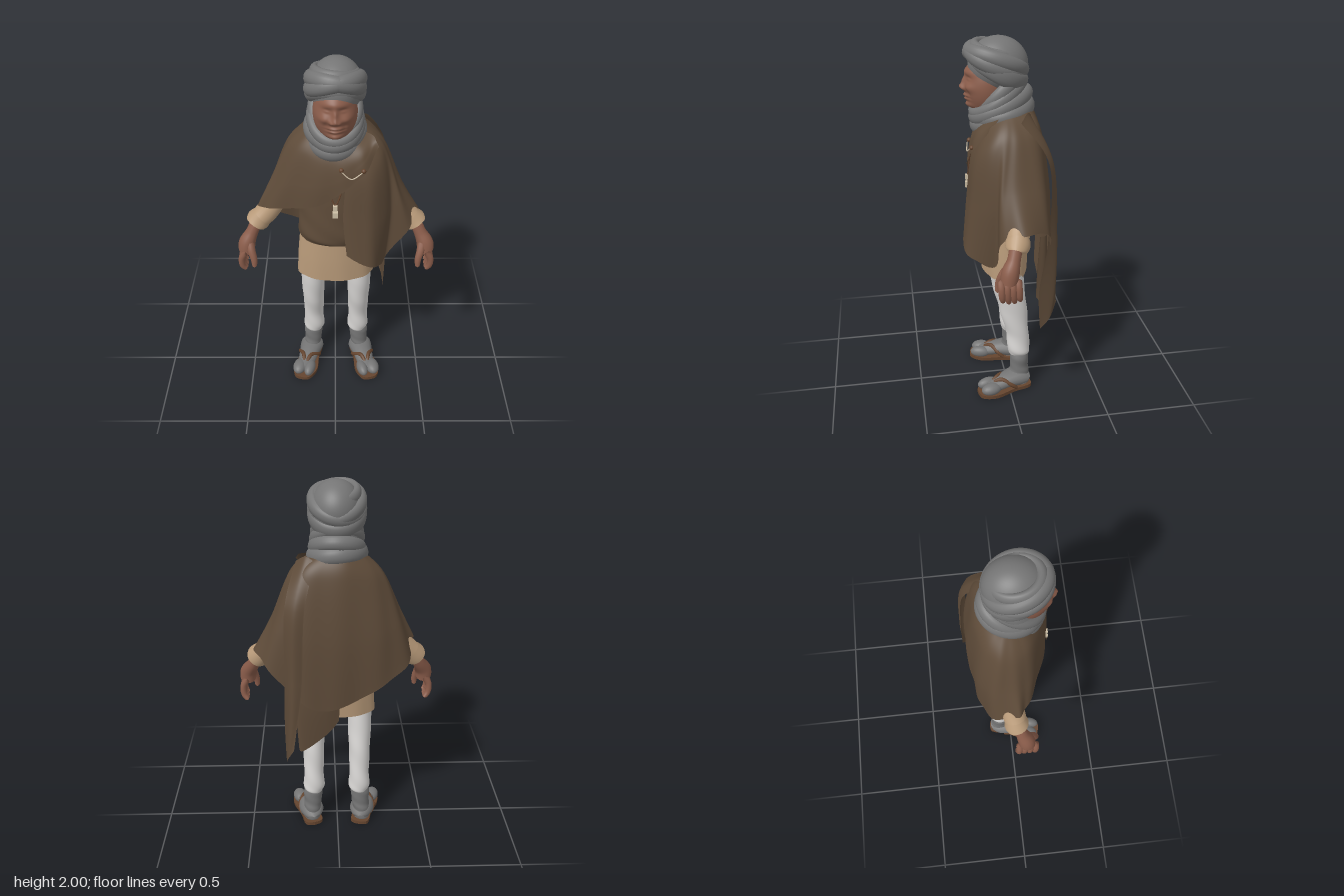
import * as THREE from 'three';
import { ParametricGeometry } from 'three/addons/geometries/ParametricGeometry.js';

const mat = (name, color, side = THREE.FrontSide) => {
  const m = new THREE.MeshStandardMaterial({ color, side });
  m.name = name;
  return m;
};

// Catmull-Rom blend through rows of numbers
function mix(rows, t) {
  const last = rows.length - 1, f = t * last, i = Math.max(0, Math.min(Math.floor(f), last - 1)), k = f - i;
  const at = j => rows[Math.max(0, Math.min(last, j))];
  const [p, q, r, s] = [at(i - 1), at(i), at(i + 1), at(i + 2)];
  return q.map((b, n) => 0.5 * (2 * b + (r[n] - p[n]) * k + (2 * p[n] - 5 * b + 4 * r[n] - s[n]) * k * k
    + (3 * b - p[n] - 3 * r[n] + s[n]) * k * k * k));
}

// Cloth through columns of points, each column a flat list of x, y, z
function sheet(cols, nu, nv, folds = 0, amount = 0) {
  return new ParametricGeometry((u, v, target) => {
    const c = mix(cols, u), pts = [];
    for (let i = 0; i < c.length; i += 3) pts.push(c.slice(i, i + 3));
    const [x, y, z] = mix(pts, v);
    const w = 1 + amount * v * (Math.sin(u * Math.PI * 2 * folds) + 0.5 * Math.sin(u * 37 + v * 4));
    target.set(x * w, y, z * w);
  }, nu, nv);
}

// Upright body through rings [x, y, z, rx, rz], bottom to top
function loft(rings, wrinkle = 0, waves = 2, twist = 24) {
  return new ParametricGeometry((u, v, target) => {
    const [x, y, z, rx, rz] = mix(rings, v), a = u * Math.PI * 2;
    const w = 1 + wrinkle * (1 - v) * Math.sin(a * waves + v * twist);
    target.set(x + Math.sin(a) * rx * w, y, z + Math.cos(a) * rz * w);
  }, 48, 40);
}

// Rounded tube with changing radius
function limb(points, radii, sides = 16, n = 24) {
  const curve = new THREE.CatmullRomCurve3(points.map(p => new THREE.Vector3(...p)));
  const geo = new THREE.TubeGeometry(curve, n, 1, sides);
  const pos = geo.attributes.position, v = new THREE.Vector3();
  for (let i = 0; i < pos.count; i++) {
    const t = Math.floor(i / (sides + 1)) / n, c = curve.getPointAt(t);
    const r = mix(radii.map(k => [k]), t)[0] * Math.sqrt(Math.max(0, 1 - (2 * t - 1) ** 10));
    v.fromBufferAttribute(pos, i).sub(c).multiplyScalar(r).add(c);
    pos.setXYZ(i, v.x, v.y, v.z);
  }
  return geo;
}

export function createModel() {
  const root = new THREE.Group();
  const cloth = mat('brown cloth', 0x5e4b39, THREE.DoubleSide);
  const linen = mat('tan linen', 0xb99b7a, THREE.DoubleSide);
  const white = mat('white trousers', 0xd9d7d5, THREE.DoubleSide);
  const grey = mat('grey wool', 0x757575);
  const skin = mat('skin', 0x8b5d4b);
  const leather = mat('sandal leather', 0x65452f);
  const bone = mat('bone', 0xcdbfa6);

  const add = (name, geo, material, parent = root) => {
    const m = new THREE.Mesh(geo, material);
    m.name = name;
    parent.add(m);
    return m;
  };
  // Flattened, tilted ring of wrapped cloth
  const roll = (name, y, z, rx, rz, h, tiltX, tiltZ) => {
    const m = add(name, new THREE.TorusGeometry(1, 0.24, 16, 56).rotateX(Math.PI / 2), grey);
    m.scale.set(rx / 1.24, h / 0.24, rz / 1.24);
    m.position.set(0, y, z);
    m.rotation.set(tiltX, 0, tiltZ);
  };

  // Head: ellipsoid with features pushed along z, [x, y, amount, width, height]
  const bumps = [
    [0, 1.752, 0.027, 0.019, 0.018], [0, 1.785, 0.016, 0.013, 0.025], [0, 1.828, 0.012, 0.075, 0.018],
    [0.04, 1.798, -0.009, 0.02, 0.013], [0.04, 1.796, 0.007, 0.016, 0.007], [0.055, 1.755, 0.012, 0.028, 0.02],
    [0, 1.855, 0.012, 0.08, 0.025], [0.02, 1.746, 0.012, 0.01, 0.01], [0.045, 1.72, -0.005, 0.012, 0.022],
    [0, 1.711, 0.014, 0.035, 0.008], [0, 1.693, 0.014, 0.032, 0.008], [0, 1.702, -0.006, 0.035, 0.003],
    [0, 1.66, 0.022, 0.04, 0.018],
  ];
  const head = new THREE.SphereGeometry(1, 128, 96).scale(0.108, 0.15, 0.11).translate(0, 1.755, 0.09);
  const hp = head.attributes.position;
  for (let i = 0; i < hp.count; i++) {
    const x = hp.getX(i), y = hp.getY(i);
    if (hp.getZ(i) < 0.1) continue;
    let dz = 0;
    for (const [bx, by, amt, w, h] of bumps)
      dz += amt * Math.exp(-(((Math.abs(x) - bx) / w) ** 2) - ((y - by) / h) ** 2);
    hp.setZ(i, hp.getZ(i) + dz);
  }
  head.computeVertexNormals();
  add('head', head, skin);

  // Turban
  add('turbanDome', new THREE.SphereGeometry(1, 48, 32).scale(0.13, 0.142, 0.152).translate(0.005, 1.858, 0.033), grey);
  roll('turbanRollLow', 1.832, 0.032, 0.15, 0.165, 0.05, -0.52, 0);
  roll('turbanRollLeft', 1.876, 0.043, 0.155, 0.175, 0.038, -0.36, 0.22);
  roll('turbanRollRight', 1.88, 0.043, 0.153, 0.174, 0.038, -0.38, -0.2);
  roll('turbanRollHigh', 1.925, 0.042, 0.124, 0.138, 0.036, -0.2, -0.1);

  // Neck scarf
  add('scarfCore', loft([[0, 1.48, 0.02, 0.12, 0.12], [0, 1.6, 0.01, 0.12, 0.11], [0, 1.7, -0.02, 0.115, 0.09],
    [0, 1.8, -0.01, 0.11, 0.09]]), grey);
  roll('scarfRollLow', 1.59, 0.02, 0.148, 0.166, 0.042, 0.33, 0.06);
  roll('scarfRollBase', 1.625, 0.01, 0.16, 0.168, 0.045, 0.25, -0.08);
  roll('scarfRollMiddle', 1.655, 0.02, 0.15, 0.18, 0.04, 0.46, 0.06);
  roll('scarfRollTop', 1.7, 0.035, 0.143, 0.175, 0.036, 0.62, -0.05);
  roll('scarfRollHood', 1.735, 0.025, 0.137, 0.165, 0.036, 0.78, 0.05);

  // Shirt and tunic
  add('shirt', loft([[0, 0.98, 0.01, 0.185, 0.135], [0, 1.02, 0.01, 0.2, 0.15], [0, 1.12, 0.01, 0.193, 0.15],
    [0, 1.25, 0, 0.195, 0.155], [0, 1.42, 0, 0.2, 0.14], [0, 1.58, 0, 0.14, 0.1]], 0.012, 5), cloth);
  add('tunic', loft([[0, 0.73, 0.005, 0.213, 0.125], [0, 0.86, 0.005, 0.205, 0.13], [0, 1.03, 0.005, 0.188, 0.132]], 0.012, 9, 1), linen);

  // Cloak columns: shoulder, middle and hem, running from the front panel round the back
  const leftDrape = [
    [0.05, 1.42, 0.18, 0.04, 1.2, 0.205, 0.06, 0.98, 0.225],
    [0.13, 1.42, 0.18, 0.13, 1.18, 0.215, 0.15, 0.93, 0.245],
    [0.2, 1.45, 0.15, 0.22, 1.17, 0.18, 0.23, 0.885, 0.19],
    [0.24, 1.5, 0.08, 0.285, 1.2, 0.09, 0.27, 0.86, 0.09],
    [0.245, 1.53, 0.03, 0.33, 1.27, 0.07, 0.39, 1.05, 0.08],
    [0.25, 1.53, -0.02, 0.345, 1.29, 0, 0.44, 1.11, -0.02],
    [0.235, 1.53, -0.09, 0.325, 1.29, -0.13, 0.385, 1.08, -0.16],
    [0.18, 1.55, -0.15, 0.23, 1.25, -0.195, 0.24, 0.92, -0.205],
  ];
  const rightWrap = [
    [0.08, 1.55, -0.17, 0.09, 1.22, -0.215, 0.1, 0.83, -0.22],
    [-0.05, 1.55, -0.17, -0.06, 1.22, -0.205, -0.06, 0.86, -0.205],
    [-0.18, 1.53, -0.13, -0.22, 1.25, -0.175, -0.23, 0.95, -0.18],
    [-0.235, 1.53, -0.07, -0.31, 1.29, -0.11, -0.36, 1.04, -0.12],
    [-0.24, 1.53, -0.01, -0.333, 1.32, -0.01, -0.41, 1.15, 0],
    [-0.22, 1.53, 0.05, -0.305, 1.33, 0.06, -0.375, 1.17, 0.055],
    [-0.16, 1.53, 0.11, -0.21, 1.36, 0.125, -0.25, 1.21, 0.12],
    [-0.05, 1.5, 0.16, -0.065, 1.38, 0.18, -0.08, 1.27, 0.185],
    [0.05, 1.52, 0.17, 0.05, 1.445, 0.192, 0.05, 1.37, 0.202],
    [0.13, 1.56, 0.15, 0.135, 1.51, 0.175, 0.14, 1.45, 0.188],
    [0.185, 1.61, 0.07, 0.2, 1.595, 0.1, 0.215, 1.57, 0.115],
  ];
  const withNeck = c => {
    const a = Math.atan2(c[0], c[2]);
    return [Math.sin(a) * 0.14, 1.635 - 0.03 * Math.cos(a), Math.cos(a) * 0.12, ...c];
  };
  add('cloak', sheet([...leftDrape, ...rightWrap].map(withNeck), 220, 40, 15, 0.016), cloth);
  add('shoulderStrip', sheet([
    [0.11, 1.62, -0.12, 0.17, 1.4, -0.212, 0.19, 1, -0.238, 0.22, 0.75, -0.243, 0.24, 0.6, -0.245],
    [0.16, 1.645, -0.09, 0.22, 1.4, -0.215, 0.24, 1, -0.24, 0.26, 0.7, -0.23, 0.275, 0.52, -0.205],
    [0.21, 1.61, -0.05, 0.27, 1.4, -0.185, 0.28, 1, -0.185, 0.29, 0.7, -0.14, 0.285, 0.46, -0.15],
  ], 20, 40), cloth);
  add('backTail', sheet([
    [-0.01, 1, -0.18, -0.01, 0.86, -0.175, -0.005, 0.74, -0.17], [0.08, 1, -0.2, 0.07, 0.83, -0.195, 0.06, 0.66, -0.18],
    [0.22, 1, -0.19, 0.21, 0.8, -0.195, 0.2, 0.56, -0.19], [0.24, 1, -0.15, 0.23, 0.8, -0.14, 0.21, 0.62, -0.14],
  ], 24, 16), cloth);

  // Pendant on a cord, and the cloak chain
  add('cord', limb([[-0.04, 1.4, 0.175], [0, 1.28, 0.195], [0.045, 1.4, 0.188]], [0.004, 0.004], 8), leather);
  add('pendant', new THREE.BoxGeometry(0.022, 0.03, 0.02).translate(0, 1.265, 0.198), bone);
  add('pendantBead', new THREE.BoxGeometry(0.026, 0.032, 0.02).translate(0, 1.225, 0.2), bone);
  add('cloakChain', limb([[0.03, 1.475, 0.197], [0.08, 1.44, 0.206], [0.135, 1.47, 0.195]], [0.003, 0.003], 8), bone);
  for (const [x, y] of [[0.03, 1.48], [0.14, 1.475]])
    add('cloakPin', new THREE.SphereGeometry(0.012, 16, 12).translate(x, y, 0.188), leather);

  for (const s of [1, -1]) {
    const side = s > 0 ? 'left' : 'right';
    // Arm and hand
    const arm = new THREE.Group();
    arm.name = side + 'Arm';
    arm.position.x = s > 0 ? 0.008 : 0;
    root.add(arm);
    const at = pts => pts.map(([x, y, z]) => [s * x, y, z]);
    add('sleeve', limb(at([[0.25, 1.27, -0.02], [0.3, 1.19, -0.02], [0.36, 1.115, -0.01], [0.43, 1.045, 0.01]]),
      [0.04, 0.05, 0.06, 0.055], 24), linen, arm);
    add('cuff', limb(at([[0.39, 1.09, -0.005], [0.42, 1.055, 0.005], [0.44, 1.03, 0.015]]), [0.056, 0.064, 0.054], 24), linen, arm);
    add('palm', limb(at([[0.42, 1.06, 0.01], [0.455, 0.99, 0.03], [0.48, 0.94, 0.05], [0.488, 0.87, 0.06]]),
      [0.036, 0.034, 0.046, 0.042]), skin, arm);
    for (let i = 0; i < 4; i++) {
      const z = 0.008 + i * 0.029, drop = 0.012 * Math.abs(i - 1.5);
      add('finger', limb(at([[0.488, 0.91, z + 0.005], [0.51, 0.865, z + 0.004], [0.508, 0.815, z], [0.488, 0.765 + drop, z - 0.008]]),
        [0.02, 0.018, 0.017, 0.013], 12, 14), skin, arm);
    }
    add('thumb', limb(at([[0.465, 0.96, 0.06], [0.455, 0.91, 0.09], [0.443, 0.86, 0.105], [0.443, 0.81, 0.11]]),
      [0.024, 0.022, 0.018, 0.013], 12, 14), skin, arm);

    // Trouser leg and sock
    const leg = new THREE.Group();
    leg.name = side + 'Leg';
    leg.position.x = s > 0 ? 0.008 : 0;
    root.add(leg);
    const x = s * 0.127;
    add('trouserLeg', loft([[x, 0.215, -0.062, 0.046, 0.05], [x, 0.25, -0.06, 0.06, 0.064], [x, 0.36, -0.052, 0.056, 0.063],
      [x, 0.5, -0.03, 0.061, 0.076], [x, 0.64, -0.01, 0.066, 0.08], [x, 0.78, 0, 0.068, 0.08]], 0.04), white, leg);
    add('sock', loft([[s * 0.142, 0.03, -0.062, 0.048, 0.058], [s * 0.14, 0.09, -0.062, 0.05, 0.057],
      [s * 0.135, 0.14, -0.062, 0.05, 0.052], [s * 0.133, 0.2, -0.062, 0.054, 0.053], [x, 0.24, -0.062, 0.045, 0.048]], 0.03), grey, leg);

    // Foot and sandal
    const foot = new THREE.Group();
    foot.name = side + 'Foot';
    foot.position.set(s * 0.145, 0, -0.05);
    foot.rotation.y = s * 0.25;
    leg.add(foot);
    const instep = add('instep', limb([[0, 0.045, -0.07], [0, 0.067, -0.02], [0, 0.062, 0.06], [0, 0.045, 0.13], [0, 0.035, 0.2]],
      [0.035, 0.05, 0.042, 0.036, 0.027]), grey, foot);
    instep.scale.x = 1.4;
    for (const [tx, r] of [[-s * 0.034, 0.032], [s * 0.028, 0.04]])
      add('toe', new THREE.SphereGeometry(1, 20, 14).scale(r, 0.034, 0.06).translate(tx, 0.041, 0.172), grey, foot);
    const outline = new THREE.Shape(new THREE.SplineCurve([[0, -0.08], [0.05, -0.06], [0.055, 0.04], [0.073, 0.15], [0.046, 0.225], [0, 0.24],
      [-0.046, 0.225], [-0.07, 0.15], [-0.053, 0.04], [-0.05, -0.06], [0, -0.08]].map(p => new THREE.Vector2(...p))).getPoints(50));
    const sole = new THREE.ExtrudeGeometry(outline, { depth: 0.02, bevelEnabled: false });
    add('sole', sole.rotateX(Math.PI / 2).translate(0, 0.02, 0), leather, foot);
    for (const k of [1, -1])
      add('strap', limb([[-s * 0.005, 0.045, 0.18], [k * 0.022, 0.083, 0.11], [k * 0.057, 0.056, 0.06], [k * 0.056, 0.018, 0.02]],
        [0.008, 0.012, 0.012, 0.01], 10), leather, foot);
  }
  return root;
}
